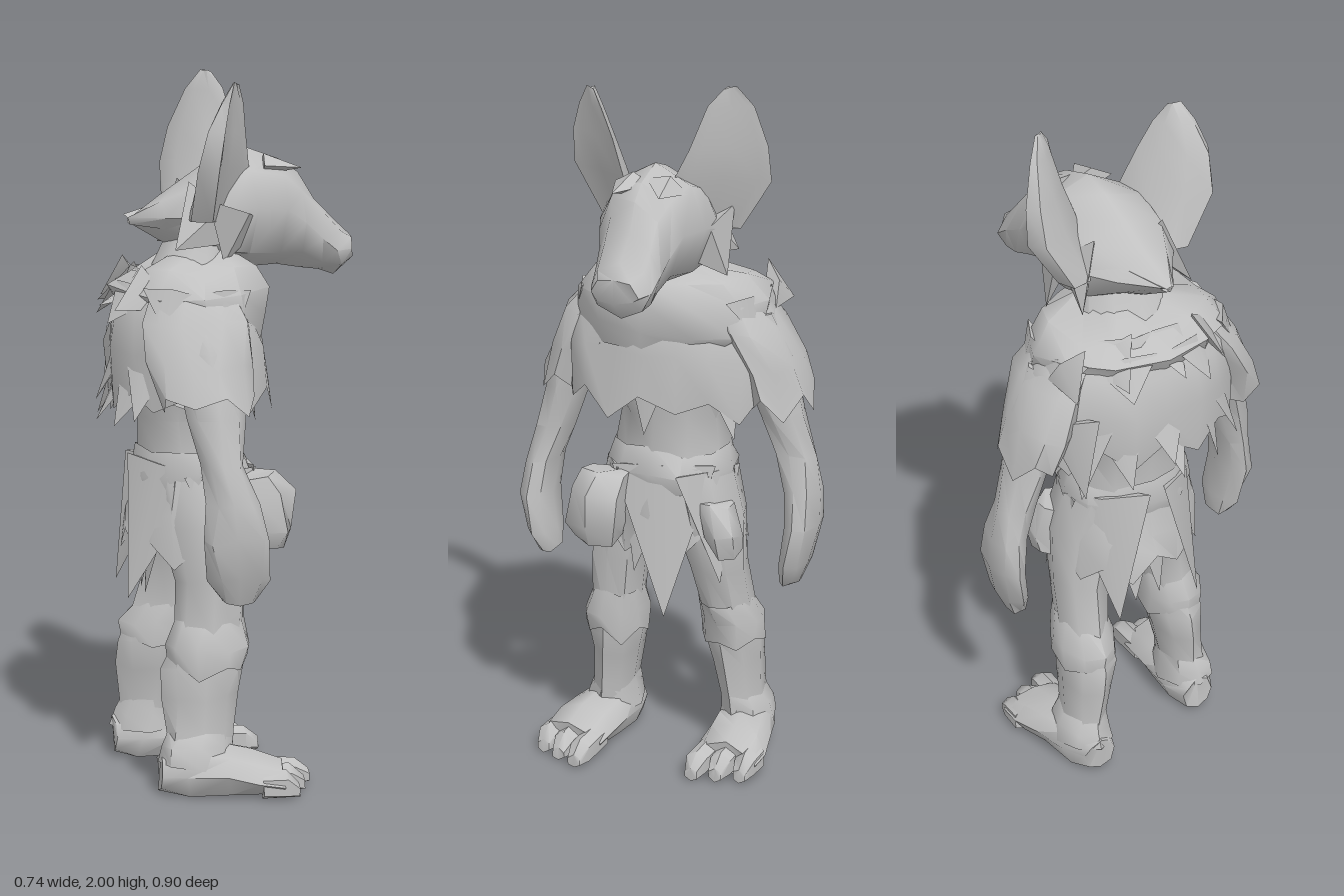
import * as THREE from 'three';
import { toCreasedNormals } from 'three/addons/utils/BufferGeometryUtils.js';

const grey = new THREE.MeshStandardMaterial({ color: 0xc0c0c0, side: THREE.DoubleSide });
grey.name = 'plain grey';

export function createModel() {
  const model = new THREE.Group();
  let seed = 7;
  const rand = () => ((seed = (seed * 16807) % 2147483647) / 2147483647) * 2 - 1;

  function add(name, geo) {
    const mesh = new THREE.Mesh(geo, grey);
    mesh.name = name;
    model.add(mesh);
    return mesh;
  }

  // Skin over elliptical rings [position along axis, c1, c2, r1, r2].
  // axis 'y': c1,r1 = x and c2,r2 = z.  axis 'x': c1,r1 = y and c2,r2 = z.
  function loft(name, rings, { axis = 'y', sides = 8, jitter = 0.008, cap = true, hem = 0, cup = false, skew = 0 } = {}) {
    const pos = [], idx = [];
    rings.forEach(([t, c1, c2, r1, r2], k) => {
      for (let i = 0; i < sides; i++) {
        const a = (i / sides) * Math.PI * 2, w = Math.sin(a) * r2;
        let u = Math.cos(a) * r1;
        if (cup && u > 0) u *= -0.1;
        u += c1 + skew * w + rand() * jitter;
        const j = rand() * jitter;
        const drop = k === 0 && hem ? (i % 2 ? hem * (0.75 + 0.4 * rand()) : -hem * 0.4) : 0;
        if (axis === 'y') pos.push(u, t - drop + j, c2 + w);
        else pos.push(t + j, Math.max(0.005, u), c2 - w);
      }
    });
    for (let k = 0; k < rings.length - 1; k++) {
      for (let i = 0; i < sides; i++) {
        const n = (i + 1) % sides, a = k * sides, b = a + sides;
        idx.push(a + i, b + i, b + n, a + i, b + n, a + n);
      }
    }
    if (cap) {
      const last = (rings.length - 1) * sides;
      for (let i = 1; i < sides - 1; i++) {
        idx.push(0, i, i + 1, last, last + i + 1, last + i);
      }
    }
    const g = new THREE.BufferGeometry();
    g.setAttribute('position', new THREE.Float32BufferAttribute(pos, 3));
    g.setIndex(idx);
    return add(name, toCreasedNormals(g, 0.9));
  }

  // Flat spike from a base point to a tip, its broad face turned away from the body's axis
  function tuft(name, base, tip, width, thick = 0.3) {
    const a = new THREE.Vector3(...base), d = new THREE.Vector3(...tip).sub(a);
    const g = new THREE.ConeGeometry(width, d.length(), 4, 1);
    g.scale(1, 1, thick);
    const m = add(name, toCreasedNormals(g, 0.6));
    m.position.copy(a).addScaledVector(d, 0.5);
    const up = d.normalize();
    const side = new THREE.Vector3().crossVectors(up, new THREE.Vector3(a.x + 0.08, 0.05, a.z)).normalize();
    const out = new THREE.Vector3().crossVectors(side, up);
    m.quaternion.setFromRotationMatrix(new THREE.Matrix4().makeBasis(side, up, out));
  }

  // Torso and neck
  loft('torso', [[0.8, -0.09, 0, 0.14, 0.17], [0.95, -0.09, 0, 0.14, 0.17], [1.05, -0.095, 0, 0.135, 0.155],
    [1.2, -0.09, 0, 0.17, 0.23], [1.35, -0.1, 0, 0.18, 0.26], [1.46, -0.08, 0, 0.12, 0.14], [1.58, -0.03, 0, 0.1, 0.1]], { sides: 10 });

  // Head: pointed nape, wide cheeks, flat brow and tapering snout
  loft('head', [[-0.26, 1.595, 0.02, 0.01, 0.02], [-0.17, 1.6, 0.01, 0.055, 0.09], [-0.08, 1.605, 0, 0.11, 0.16],
    [0, 1.62, -0.015, 0.145, 0.17], [0.08, 1.625, -0.02, 0.16, 0.16], [0.17, 1.615, -0.03, 0.15, 0.125], [0.24, 1.585, -0.04, 0.135, 0.105],
    [0.29, 1.54, -0.05, 0.105, 0.1], [0.34, 1.505, -0.055, 0.075, 0.095], [0.38, 1.505, -0.055, 0.035, 0.07]], { axis: 'x', jitter: 0.01 });
  for (const s of [1, -1]) {
    // Broad ears opening forward and outward, cheek tufts and brows
    const top = s > 0 ? 0 : 0.03, x = s > 0 ? 0.01 : 0;
    loft(s > 0 ? 'leftEar' : 'rightEar', [[1.6, x - 0.02, s * 0.13, 0.1, 0.075], [1.74, x, s * 0.185, 0.095, 0.11],
      [1.84, x, s * 0.205, 0.075, 0.085], [1.92 + top, x, s * 0.21, 0.04, 0.05], [1.97 + top, x, s * 0.21, 0.01, 0.015]],
    { cup: true, jitter: 0.004, skew: s > 0 ? -0.55 : 0.8 });
    tuft('cheekTuft', [0.03, 1.62, s * 0.13 - 0.01], [-0.01, 1.48, s * 0.17 - 0.03], 0.12, 0.4);
    tuft('cheekTuft', [-0.03, 1.62, s * 0.11], [-0.15, 1.52, s * 0.17], 0.11, 0.4);
    tuft('brow', [0.12, 1.745, s * 0.05 - 0.03], [0.23, 1.735, s * 0.07 - 0.04], 0.06, 0.5);
  }

  // Collar and ragged fur mantle
  loft('collar', [[1.28, -0.06, 0, 0.17, 0.25], [1.33, -0.07, 0, 0.2, 0.285], [1.41, -0.085, 0, 0.215, 0.29],
    [1.46, -0.085, 0, 0.185, 0.23], [1.5, -0.06, 0, 0.09, 0.11]], { sides: 12, jitter: 0.02 });
  loft('mantle', [[1.12, -0.09, 0, 0.22, 0.32], [1.25, -0.1, 0, 0.22, 0.325], [1.36, -0.1, 0, 0.2, 0.295],
    [1.45, -0.1, 0, 0.14, 0.22]], { sides: 20, jitter: 0.015, cap: false, hem: 0.05 });
  for (let i = 0; i < 16; i++) {
    const a = (i / 16) * Math.PI * 2, c = Math.cos(a), w = Math.sin(a), high = i % 2;
    const y = high ? 1.41 : 1.27, out = c < 0 ? 1 : 0.82;
    tuft('mantleTuft', [-0.1 + c * 0.16, y, w * 0.26],
      [-0.1 + c * 0.25 * out, y - (high ? 0.12 : 0.21) + rand() * 0.04, w * (high ? 0.315 : 0.355)], 0.09);
  }
  for (const z of [-0.25, -0.12, 0.03, 0.16]) {
    tuft('backTuft', [-0.2, 1.42, z], [-0.35 + Math.abs(z) * 0.2, 1.36, z * 1.1], 0.08);
    tuft('backTuft', [-0.22, 1.25, z], [-0.36 + Math.abs(z) * 0.25, 1.04, z], 0.09);
  }

  for (const s of [1, -1]) {
    const side = s > 0 ? 'left' : 'right';
    // Arms with shredded sleeves; the right arm swings back
    const h = s > 0 ? -0.02 : -0.1;
    loft(side + 'Arm', [[0.585, 0.01 + h, s * 0.37, 0.05, 0.025], [0.65, 0.01 + h, s * 0.385, 0.085, 0.04],
      [0.76, 0.0 + h, s * 0.405, 0.095, 0.045], [0.86, -0.01 + h, s * 0.395, 0.075, 0.052], [0.96, -0.04 + h * 0.8, s * 0.37, 0.062, 0.06],
      [1.08, -0.05 + h * 0.6, s * 0.33, 0.075, 0.065], [1.25, -0.09, s * 0.28, 0.09, 0.08], [1.36, -0.09, s * 0.22, 0.08, 0.08]]);
    loft(side + 'Sleeve', [[1.12, -0.08 + h * 0.4, s * 0.32, 0.13, 0.085], [1.22, -0.09 + h * 0.3, s * 0.295, 0.14, 0.08],
      [1.33, -0.1, s * 0.24, 0.14, 0.08], [1.41, -0.1, s * 0.18, 0.11, 0.08]], { sides: 10, cap: false, hem: 0.04, jitter: 0.015 });

    // Legs with one foot set slightly behind the other
    const b = s > 0 ? 0 : -0.08;
    loft(side + 'Leg', [[0.08, -0.1 + b, s * 0.2, 0.1, 0.07], [0.18, -0.09 + b, s * 0.19, 0.095, 0.06], [0.28, -0.085 + b, s * 0.18, 0.105, 0.07],
      [0.36, -0.075 + b, s * 0.17, 0.115, 0.08], [0.44, -0.06 + b * 0.8, s * 0.165, 0.1, 0.07], [0.6, -0.05 + b * 0.4, s * 0.15, 0.105, 0.08],
      [0.76, -0.07, s * 0.125, 0.125, 0.105], [0.9, -0.08, s * 0.09, 0.13, 0.1]]);
    loft(side + 'KneeWrap', [[0.36, -0.065 + b, s * 0.17, 0.115, 0.09], [0.42, -0.06 + b, s * 0.17, 0.12, 0.09],
      [0.49, -0.05 + b * 0.6, s * 0.16, 0.1, 0.07]], { cap: false, hem: 0.03, sides: 10, jitter: 0.012 });
    loft(side + 'AnkleWrap', [[0.09, -0.1 + b, s * 0.2, 0.11, 0.085], [0.14, -0.1 + b, s * 0.2, 0.1, 0.075],
      [0.18, -0.09 + b, s * 0.19, 0.09, 0.06]], { cap: false });
    loft(side + 'Foot', [[-0.2 + b, 0.065, s * 0.195, 0.055, 0.05], [-0.13 + b, 0.07, s * 0.2, 0.08, 0.08],
      [-0.02 + b, 0.067, s * 0.215, 0.075, 0.095], [0.06 + b, 0.06, s * 0.23, 0.068, 0.105], [0.13 + b, 0.045, s * 0.235, 0.05, 0.1]], { axis: 'x' });
    // Toes, the outermost shortest
    for (const t of [-1, 0, 1]) {
      const z = s * (0.235 + t * 0.065), e = 0.2 - t * 0.025 + b;
      loft('toe', [[0.07 + b, 0.045, z, 0.045, 0.036], [e - 0.04, 0.04, z, 0.042, 0.036], [e, 0.025, z, 0.02, 0.022]],
        { axis: 'x', sides: 6, jitter: 0.003 });
    }

    // Rags over the thighs and behind
    tuft('thighRag', [-0.02, 0.9, s * 0.14], [0.02, 0.58, s * 0.2], 0.12, 0.3);
    tuft('backRag', [-0.17, 0.92, s * 0.11], [-0.28, 0.55, s * 0.13], 0.13, 0.3);
    tuft('backRag', [-0.17, 0.88, s * 0.03], [-0.22, 0.54, s * 0.04], 0.1, 0.3);
  }

  // Hip pouches
  loft('leftPouch', [[0.69, 0.09, 0.15, 0.06, 0.07], [0.74, 0.11, 0.15, 0.08, 0.09],
    [0.84, 0.1, 0.14, 0.085, 0.085], [0.89, 0.07, 0.13, 0.06, 0.08]], { sides: 6, jitter: 0.012 });
  loft('rightPouch', [[0.67, 0.0, -0.21, 0.05, 0.04], [0.73, 0.01, -0.21, 0.07, 0.05],
    [0.82, 0.0, -0.18, 0.06, 0.05]], { sides: 6, jitter: 0.012 });

  // Belt, torn skirt and loincloth
  loft('belt', [[0.84, -0.08, 0, 0.155, 0.185], [0.9, -0.08, 0, 0.165, 0.195], [0.96, -0.085, 0, 0.145, 0.175]], { sides: 12, cap: false, jitter: 0.015 });
  loft('skirt', [[0.69, -0.09, 0, 0.18, 0.215], [0.78, -0.085, 0, 0.17, 0.205], [0.91, -0.08, 0, 0.14, 0.18]],
    { sides: 16, cap: false, hem: 0.06, jitter: 0.018 });
  tuft('loincloth', [0.04, 0.92, -0.03], [0.12, 0.49, -0.07], 0.15, 0.2);
  tuft('loincloth', [0.04, 0.9, 0.02], [0.09, 0.6, 0.04], 0.1, 0.2);
  return model;
}
